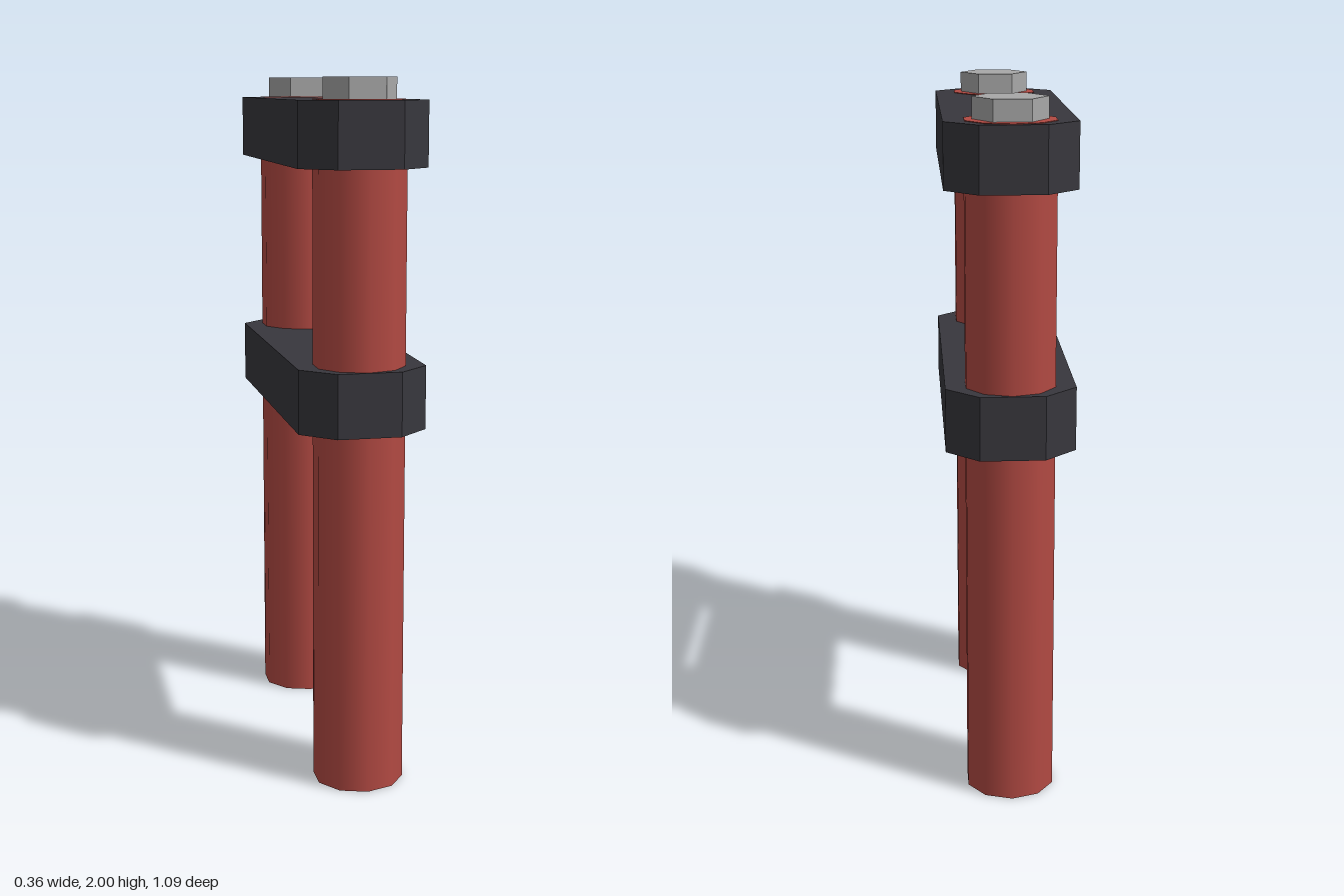
import * as THREE from 'three';

export function createModel() {
  const model = new THREE.Group();
  model.name = 'twinPostFrame';

  const material = (name, color, flatShading = false) => {
    const m = new THREE.MeshStandardMaterial({ color, flatShading });
    m.name = name;
    return m;
  };
  const red = material('red', 0xb34a43);
  const charcoal = material('charcoal', 0x38373d, true);
  const steel = material('steel', 0xa8a8a8, true);

  const add = (name, geometry, mat, y, z = 0) => {
    const mesh = new THREE.Mesh(geometry, mat);
    mesh.name = name;
    mesh.position.set(0, y, z);
    model.add(mesh);
  };

  // Chamfered plate outline, extruded upwards
  const outline = new THREE.Shape([
    [0.09, -0.543], [0.181, -0.453], [0.181, 0.453], [0.09, 0.543],
    [-0.09, 0.543], [-0.181, 0.453], [-0.181, -0.453], [-0.09, -0.543],
  ].map(([x, y]) => new THREE.Vector2(x, y)));
  const plate = new THREE.ExtrudeGeometry(outline, { depth: 0.181, bevelEnabled: false });
  plate.rotateX(-Math.PI / 2);
  add('upperClamp', plate, charcoal, 1.758);
  add('lowerClamp', plate, charcoal, 1.033);

  // Ten-sided posts, just proud of the upper clamp, with hexagonal bolt heads
  const post = new THREE.CylinderGeometry(0.13, 0.13, 1.941, 10);
  const bolt = new THREE.CylinderGeometry(0.103, 0.103, 0.07, 6).rotateY(Math.PI / 6);
  for (const [side, z] of [['front', 0.408], ['back', -0.408]]) {
    add(side + 'Post', post, red, 1.941 / 2, z);
    add(side + 'Bolt', bolt, steel, 1.965, z);
  }

  return model;
}
